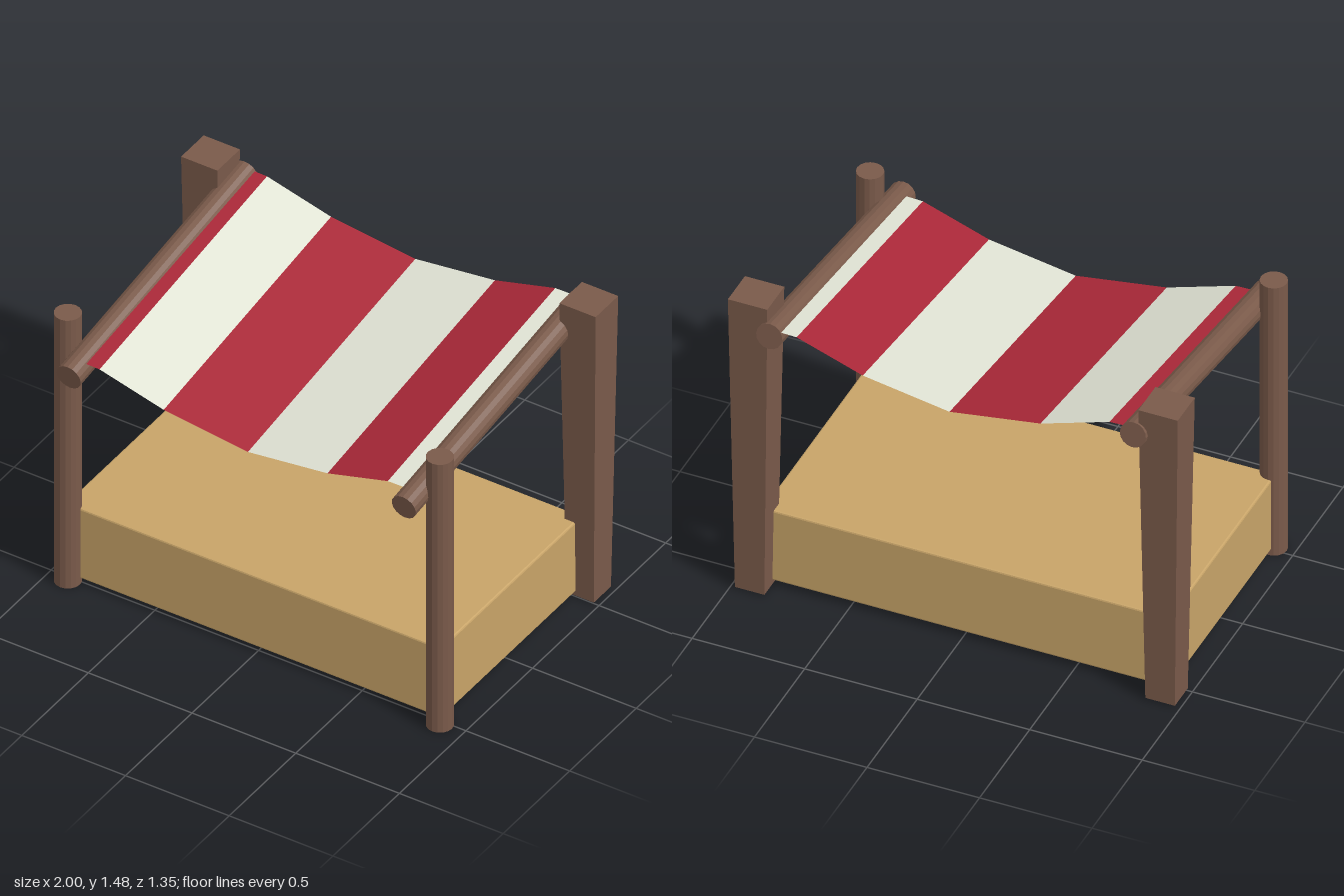
import * as THREE from 'three';
import { RoundedBoxGeometry } from 'three/addons/geometries/RoundedBoxGeometry.js';

const paint = (color, extra = {}) => new THREE.MeshStandardMaterial({ color, flatShading: true, ...extra });

export function createModel() {
  const model = new THREE.Group();
  const wood = paint(0x7a5a4a);
  const straw = paint(0xc8a468);
  const red = paint(0xaa2838, { side: THREE.DoubleSide });
  const cream = paint(0xe0e3d4, { side: THREE.DoubleSide });

  const add = (name, geometry, material, x = 0, y = 0, z = 0) => {
    const mesh = new THREE.Mesh(geometry, material);
    mesh.name = name;
    mesh.position.set(x, y, z);
    model.add(mesh);
    return mesh;
  };

  // Solid base block with slightly eased edges
  add('base', new RoundedBoxGeometry(1.81, 0.355, 1.06, 1, 0.008), straw, -0.015, 0.207, -0.015);

  // Square back post, wider at the top
  const backPost = new THREE.BoxGeometry(0.175, 1.475, 0.17);
  const p = backPost.attributes.position;
  for (let i = 0; i < p.count; i++) {
    if (p.getY(i) < 0) p.setXYZ(i, p.getX(i) * 0.75, p.getY(i), p.getZ(i) * 0.76);
  }
  backPost.computeVertexNormals();

  // Round sloping rail, from its front end to its back end
  const front = new THREE.Vector3(0, 1.168, 0.668);
  const back = new THREE.Vector3(0, 1.367, -0.663);
  const along = back.clone().sub(front);
  const middle = front.clone().add(back).multiplyScalar(0.5);

  for (const [side, s] of [['left', 1], ['right', -1]]) {
    add(side + 'BackPost', backPost, wood, s * 0.912, 0.7475, -0.56);
    add(side + 'FrontPost', new THREE.CylinderGeometry(0.058, 0.058, 1.363, 16), wood,
      s > 0 ? 0.887 : -0.907, 0.683, 0.52);
    const rail = add(side + 'Rail', new THREE.CylinderGeometry(0.058, 0.058, along.length(), 16), wood,
      s * 0.808, middle.y, middle.z);
    rail.quaternion.setFromUnitVectors(new THREE.Vector3(0, 1, 0), along.clone().normalize());
  }

  // Sagging awning: [x, front y, front z] across; the back edge is a fixed offset
  const sag = [
    [-0.8, 1.215, 0.605], [-0.7, 1.212, 0.604], [-0.4, 1.12, 0.59], [0, 1.063, 0.58],
    [0.39, 1.12, 0.59], [0.69, 1.212, 0.604], [0.8, 1.215, 0.605],
  ];
  for (let i = 0; i < sag.length - 1; i++) {
    const a = sag[i], b = sag[i + 1];
    const rear = ([x, y, z]) => [x, y + 0.181, z - 1.258];
    const strip = new THREE.BufferGeometry();
    strip.setAttribute('position', new THREE.Float32BufferAttribute(
      [...a, ...b, ...rear(b), ...rear(a)], 3));
    strip.setIndex([0, 1, 2, 0, 2, 3]);
    strip.computeVertexNormals();
    add('awningStripe' + (i + 1), strip, i % 2 ? cream : red);
  }
  return model;
}
